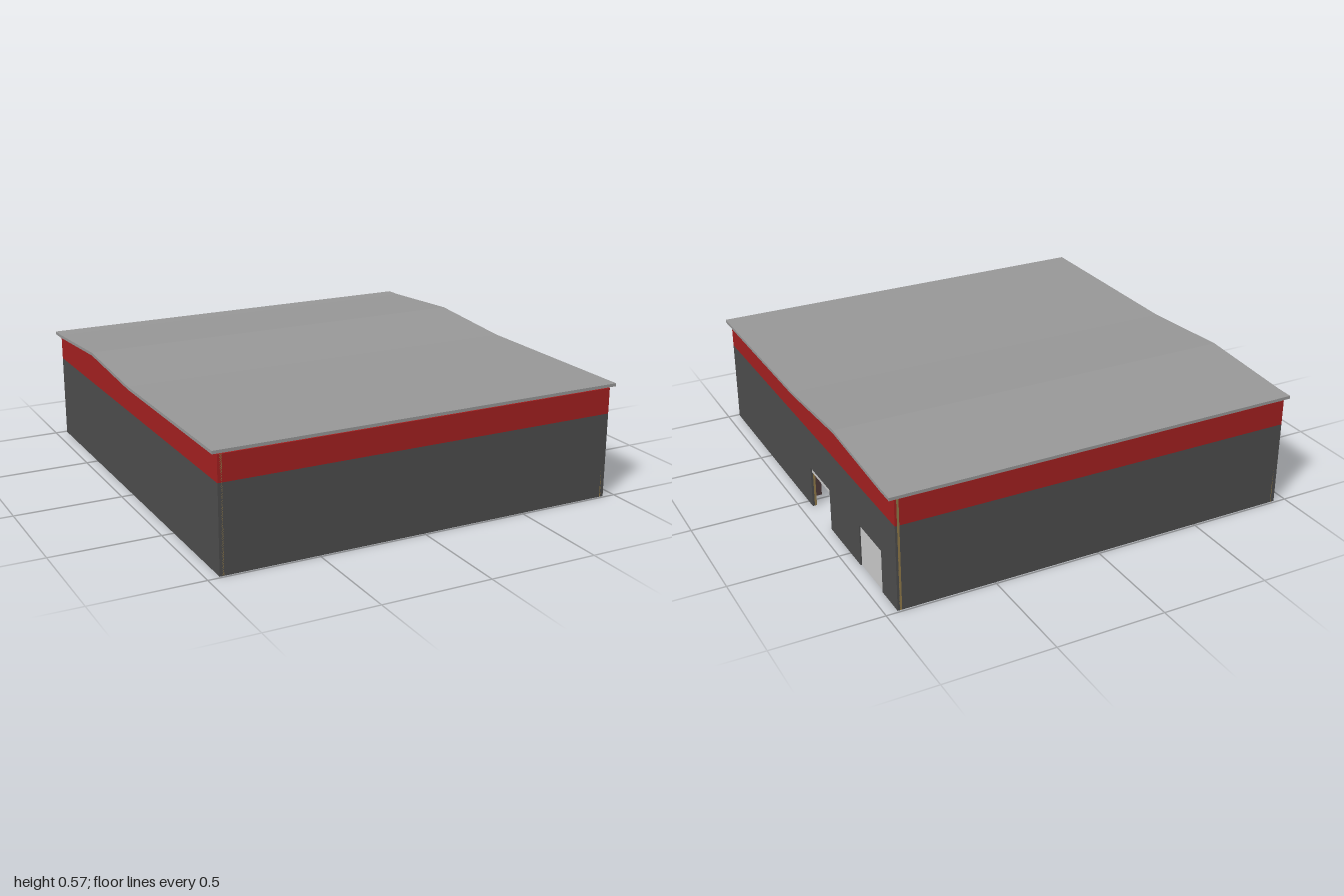
import * as THREE from 'three';

const WX = 0.945, WZ = 0.99, T = 0.01;      // wall half extents and skin thickness
const BAND = 0.395;                         // height where the red band starts
const GAP = 0.021;                          // wall top below roof top
// roof top line as [z, y]
const ROOF = [[1, 0.535], [0.06, 0.535], [-0.35, 0.562], [-0.43, 0.567], [-0.51, 0.562], [-0.92, 0.536], [-1, 0.535]];
const DOORS = [[-0.05, -0.28], [-0.61, -0.84]];
const DOOR_H = 0.2;

const mat = (color) => new THREE.MeshStandardMaterial({ color, flatShading: true });
const MAT = {
  grey: mat(0x4e4e4e), red: mat(0xa52020), lining: mat(0x927b4a), roof: mat(0x999999),
  column: mat(0x4f3c3c), beam: mat(0x1c1f24), door: mat(0xcccccc),
};

export function createModel() {
  const group = new THREE.Group();

  function add(name, geometry, material) {
    const mesh = new THREE.Mesh(geometry, material);
    mesh.name = name;
    group.add(mesh);
    return mesh;
  }
  function box(name, material, w, h, d, x, y, z) {
    add(name, new THREE.BoxGeometry(w, h, d), material).position.set(x, y, z);
  }
  // extrude a [z, y] outline along x, starting at x0
  function extrudeX(name, material, points, x0, width) {
    const shape = new THREE.Shape(points.map(([z, y]) => new THREE.Vector2(-z, y)));
    const geo = new THREE.ExtrudeGeometry(shape, { depth: width, bevelEnabled: false });
    geo.rotateY(Math.PI / 2).translate(x0, 0, 0);
    add(name, geo, material);
  }

  // Roof slab following the shallow ridge
  const under = ROOF.map(([z, y]) => [z, y - 0.014]).reverse();
  extrudeX('roof', MAT.roof, [...ROOF, ...under], -0.97, 1.94);

  // Side walls: grey base with door notches, red gable band, inner lining
  const wallTop = ROOF.map(([z, y]) => [THREE.MathUtils.clamp(z, -WZ, WZ), y - GAP]);
  const notches = DOORS.flatMap(([a, b]) => [[a, 0], [a, DOOR_H], [b, DOOR_H], [b, 0]]);
  for (const side of [1, -1]) {
    const label = side > 0 ? 'left' : 'right';
    const floorLine = [[WZ, 0], ...(side > 0 ? notches : []), [-WZ, 0]];
    const x0 = side > 0 ? WX - T : -WX;
    extrudeX(label + 'Wall', MAT.grey, [...floorLine, [-WZ, BAND], [WZ, BAND]], x0, T);
    extrudeX(label + 'RedBand', MAT.red, [[WZ, BAND], [-WZ, BAND], ...[...wallTop].reverse()], x0, T);
    extrudeX(label + 'Lining', MAT.lining, [...floorLine, ...[...wallTop].reverse()],
      side > 0 ? WX - 2 * T : -WX + T, T);
  }

  // Front and back walls
  const top = 0.535 - GAP;
  for (const side of [1, -1]) {
    const label = side > 0 ? 'front' : 'back';
    const z = side * (WZ - T / 2);
    box(label + 'Wall', MAT.grey, 2 * WX, BAND, T, 0, BAND / 2, z);
    box(label + 'RedBand', MAT.red, 2 * WX, top - BAND, T, 0, (top + BAND) / 2, z);
    box(label + 'Lining', MAT.lining, 2 * (WX - T), top, T, 0, top / 2, z - side * T);
  }

  // Roller doors: one nearly open, one closed
  [0.175, 0].forEach((bottom, i) => {
    const [a, b] = DOORS[i];
    box('rollerDoor', MAT.door, 0.008, DOOR_H - bottom, a - b, WX - T, (DOOR_H + bottom) / 2, (a + b) / 2);
  });

  // Column grid with a tie beam and a ceiling beam on each row
  const rows = [0.06, -0.45, -0.945], columns = [-0.895, -0.47, 0.05, 0.57, 0.895];
  for (const z of rows) {
    for (const x of columns) box('column', MAT.column, 0.05, 0.5, 0.06, x, 0.25, z);
    box('tieBeam', MAT.column, 1.8, 0.035, 0.03, 0, 0.42, z);
    box('ceilingBeam', MAT.beam, 1.84, 0.02, 0.04, 0, 0.505, z);
  }
  // Beams running front to back over the column rows
  for (const x of [-0.895, 0.04, 0.895]) box('longBeam', MAT.beam, 0.06, 0.03, 1.03, x, 0.506, -0.44);

  return group;
}
